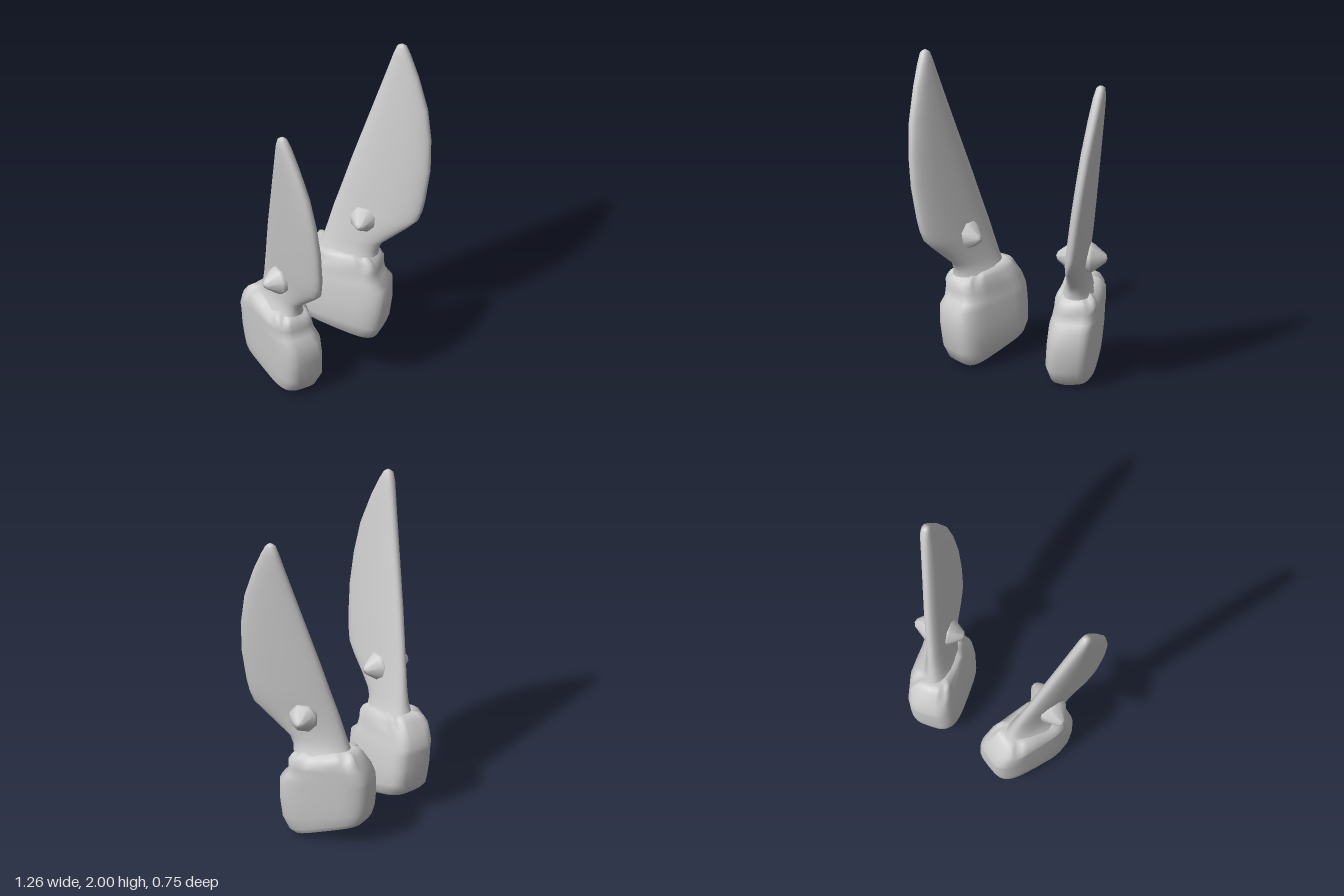
import * as THREE from 'three';

const SEG = 32;
const material = new THREE.MeshStandardMaterial({ color: 0xcccccc, side: THREE.DoubleSide });

// Skin a stack of rings, open below and closed above; ring(i, angle) gives [x, y, z].
// side = -1 mirrors across x.
function loft(count, ring, side, name) {
  const pos = [], index = [];
  const tri = (a, b, c) => (side > 0 ? index.push(a, b, c) : index.push(a, c, b));
  for (let i = 0; i < count; i++) {
    for (let j = 0; j < SEG; j++) {
      const [x, y, z] = ring(i, (j / SEG) * Math.PI * 2);
      pos.push(x * side, y, z);
    }
  }
  for (let i = 0; i < count - 1; i++) {
    for (let j = 0; j < SEG; j++) {
      const k = (j + 1) % SEG, a = i * SEG, b = a + SEG;
      tri(a + j, a + k, b + k);
      tri(a + j, b + k, b + j);
    }
  }
  // Crown: fan to the middle of the last ring
  const last = (count - 1) * SEG, centre = count * SEG, mid = [0, 0, 0];
  for (let j = 0; j < SEG; j++) {
    for (let k = 0; k < 3; k++) mid[k] += pos[(last + j) * 3 + k] / SEG;
    tri(centre, last + j, last + ((j + 1) % SEG));
  }
  pos.push(...mid);
  const geometry = new THREE.BufferGeometry();
  geometry.setAttribute('position', new THREE.Float32BufferAttribute(pos, 3));
  geometry.setIndex(index);
  geometry.computeVertexNormals();
  const mesh = new THREE.Mesh(geometry, material);
  mesh.name = name;
  return mesh;
}

const soft = (v, power) => Math.sign(v) * Math.abs(v) ** power;

// Blade sections: y, back edge x z, front edge x z, half thickness
const BLADE = [
  [0.56, 0.28, -0.25, 0.4, 0.1, 0.095],
  [0.595, 0.285, -0.235, 0.4, 0.1, 0.078],
  [0.65, 0.293, -0.22, 0.405, 0.125, 0.066],
  [0.72, 0.307, -0.205, 0.435, 0.2, 0.06],
  [0.79, 0.322, -0.192, 0.463, 0.275, 0.058],
  [0.85, 0.335, -0.18, 0.49, 0.33, 0.058],
  [0.92, 0.351, -0.163, 0.508, 0.35, 0.058],
  [1.0, 0.37, -0.145, 0.522, 0.362, 0.058],
  [1.2, 0.415, -0.1, 0.553, 0.375, 0.056],
  [1.4, 0.46, -0.05, 0.577, 0.362, 0.053],
  [1.6, 0.505, 0, 0.592, 0.325, 0.049],
  [1.8, 0.55, 0.05, 0.6, 0.252, 0.043],
  [1.93, 0.58, 0.082, 0.6, 0.192, 0.036],
  [1.985, 0.59, 0.1, 0.6, 0.162, 0.027],
  [2.0, 0.592, 0.12, 0.597, 0.145, 0.012],
];

function bladeRing(i, t) {
  const [y, bx, bz, fx, fz, half] = BLADE[i];
  const dx = (fx - bx) / 2, dz = (fz - bz) / 2, len = Math.hypot(dx, dz);
  const u = soft(Math.cos(t), 0.85), v = half * soft(Math.sin(t), 0.85);
  return [(bx + fx) / 2 + dx * u + (dz / len) * v, y, (bz + fz) / 2 + dz * u - (dx / len) * v];
}

// Block sections: height, tilt, centre x z, half length, half width, rim ripple
const BLOCK = [
  [0.06, -0.29, 0.31, -0.105, 0.205, 0.11, 0],
  [0.09, -0.27, 0.302, -0.1, 0.243, 0.138, 0],
  [0.16, -0.2, 0.3, -0.085, 0.272, 0.153, 0],
  [0.27, -0.1, 0.309, -0.085, 0.285, 0.153, 0],
  [0.38, -0.05, 0.317, -0.09, 0.285, 0.148, 0],
  [0.42, -0.05, 0.317, -0.115, 0.26, 0.144, 0],
  [0.48, -0.06, 0.325, -0.112, 0.243, 0.138, 0.002],
  [0.52, -0.08, 0.335, -0.1, 0.228, 0.136, 0.01],
  [0.552, -0.1, 0.332, -0.097, 0.207, 0.118, 0.014],
  [0.576, -0.11, 0.325, -0.095, 0.182, 0.1, 0.01],
  [0.586, -0.1, 0.325, -0.095, 0.15, 0.07, 0],
];
const TURN = 0.32;

function blockRing(i, t) {
  const [y, tilt, cx, cz, length, width, ripple] = BLOCK[i];
  const wave = ripple * Math.sin(t * 8) * (0.3 + 0.7 * Math.abs(Math.sin(t)));
  const u = (length + wave * 0.4) * soft(Math.cos(t), 0.55);
  const v = (width + wave * 0.4) * soft(Math.sin(t), 0.55);
  const z = cz + u * Math.cos(TURN) - v * Math.sin(TURN);
  return [cx + u * Math.sin(TURN) + v * Math.cos(TURN), y + tilt * (z - cz) + wave, z];
}

// Blunt faceted stud pointing out of one face of the blade
function stud(side, face) {
  const profile = [[0.08, 0.02], [0.092, 0.052], [0.085, 0.07], [0.026, 0.146], [0, 0.156]];
  const geometry = new THREE.LatheGeometry(profile.map(([r, h]) => new THREE.Vector2(r, h)), 8);
  const mesh = new THREE.Mesh(geometry, material);
  const out = new THREE.Vector3(side * face * 0.94, 0, face * -0.34).normalize();
  mesh.quaternion.setFromUnitVectors(new THREE.Vector3(0, 1, 0), out);
  mesh.position.set(side * 0.403, 0.81, 0.01);
  mesh.name = face > 0 ? 'outerStud' : 'innerStud';
  return mesh;
}

export function createModel() {
  const model = new THREE.Group();
  model.name = 'bladePair';
  for (const side of [1, -1]) {
    const half = new THREE.Group();
    half.name = side > 0 ? 'leftBlade' : 'rightBlade';
    half.add(
      loft(BLOCK.length, blockRing, side, 'baseBlock'),
      loft(BLADE.length, bladeRing, side, 'blade'),
      stud(side, 1),
      stud(side, -1),
    );
    model.add(half);
  }
  return model;
}
